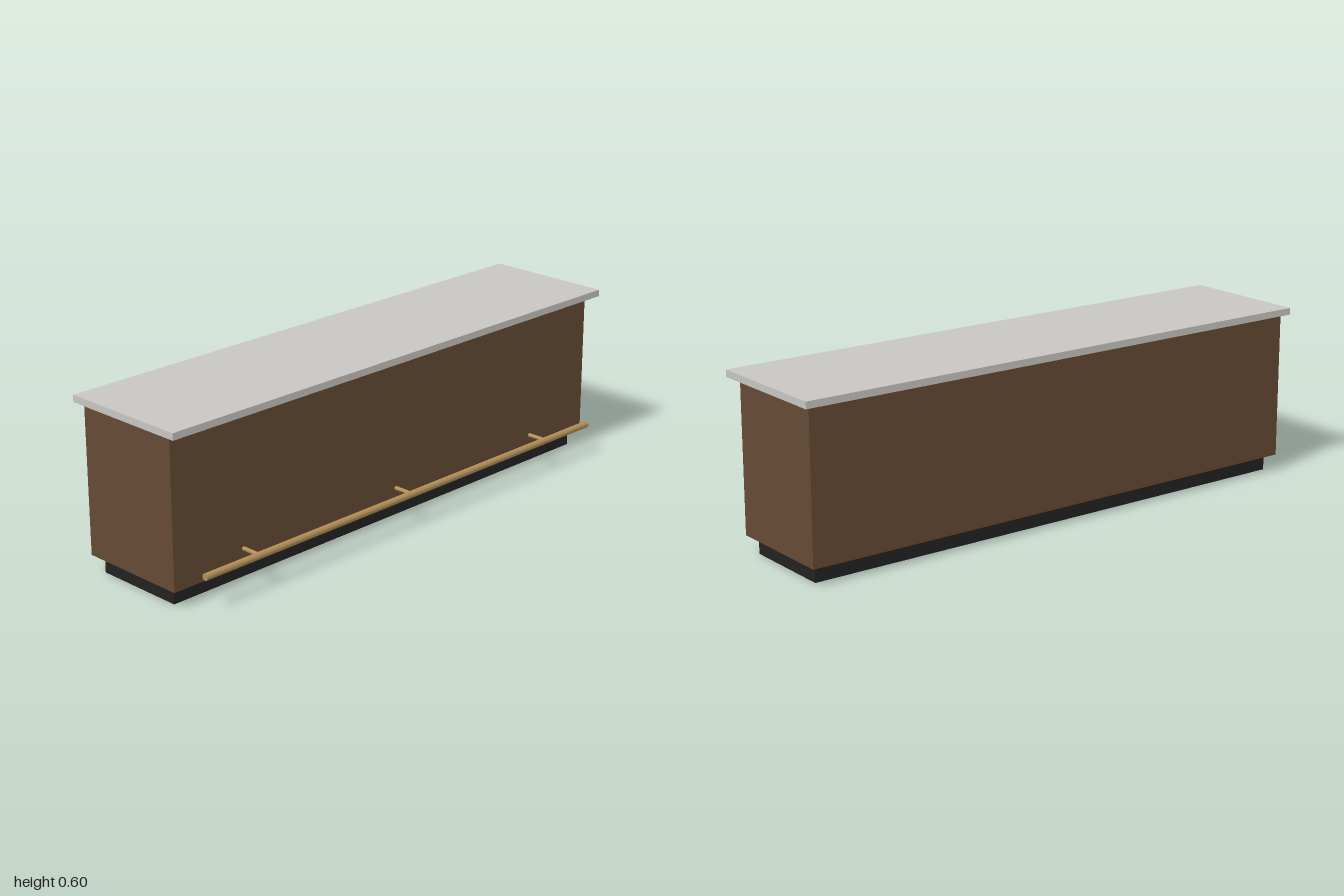
import * as THREE from 'three';

const material = (name, color) => {
  const m = new THREE.MeshStandardMaterial({ color });
  m.name = name;
  return m;
};

export function createModel() {
  const wood = material('brown wood', 0x654a34);
  const stone = material('pale stone', 0xc8c6c2);
  const dark = material('dark plinth', 0x222222);
  const brass = material('brass', 0xb08d57);

  const model = new THREE.Group();
  model.name = 'barCounter';

  const add = (name, geometry, mat, x, y, z) => {
    const mesh = new THREE.Mesh(geometry, mat);
    mesh.name = name;
    mesh.position.set(x, y, z);
    model.add(mesh);
    return mesh;
  };

  // Box given by its x and y limits, centred on z
  const slab = (name, mat, x0, x1, y0, y1, length) =>
    add(name, new THREE.BoxGeometry(x1 - x0, y1 - y0, length), mat, (x0 + x1) / 2, (y0 + y1) / 2, 0);

  // Recessed plinth, cabinet and overhanging top
  slab('plinth', dark, -0.2, 0.133, 0, 0.059, 1.9);
  slab('cabinet', wood, -0.234, 0.168, 0.059, 0.576, 1.953);
  slab('countertop', stone, -0.257, 0.213, 0.576, 0.6, 2);

  // Foot rail along the customer side
  const railX = 0.243, railY = 0.117;
  add('footRail', new THREE.CylinderGeometry(0.012, 0.012, 1.834, 20), brass, railX, railY, 0)
    .rotation.x = Math.PI / 2;

  // Brackets joining the rail to the cabinet
  const reach = railX - 0.168;
  for (const z of [-0.69, 0, 0.69]) {
    add('railBracket', new THREE.CylinderGeometry(0.007, 0.007, reach, 12), brass, 0.168 + reach / 2, railY, z)
      .rotation.z = Math.PI / 2;
  }

  return model;
}
